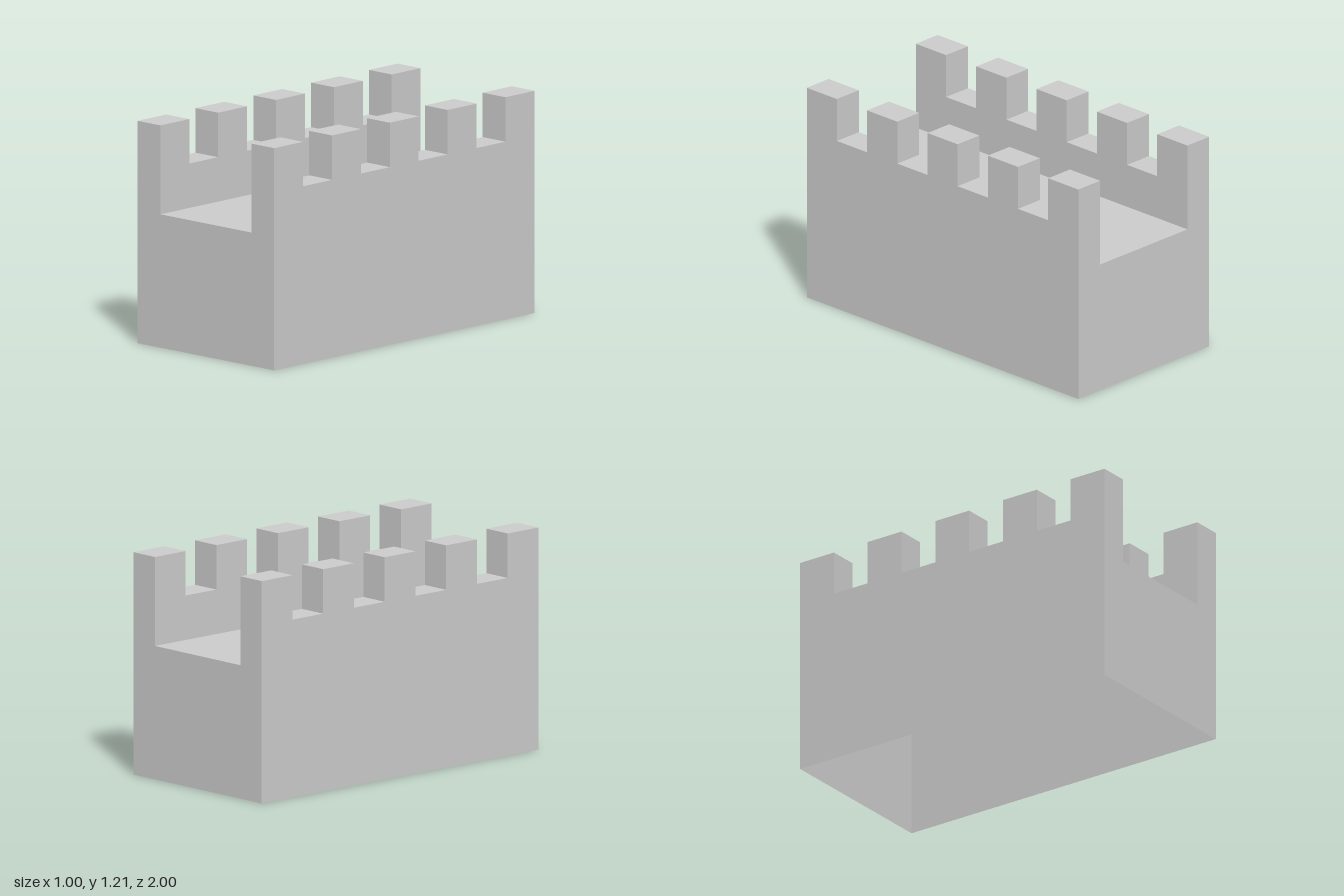
import * as THREE from 'three';
import { mergeGeometries } from 'three/addons/utils/BufferGeometryUtils.js';

const HALF_W = 0.5, INNER = 1 / 3, HALF_L = 1;
const DECK = 0.723, NOTCH = 0.964, TOP = 1.205;
const BAYS = 9, BAY = (2 * HALF_L) / BAYS;

const material = new THREE.MeshStandardMaterial({
  color: 0xcccccc, flatShading: true, side: THREE.DoubleSide,
});

function mesh(name, geometry) {
  const m = new THREE.Mesh(geometry, material);
  m.name = name;
  return m;
}

// Battlement outline: merlons on even bays, notches on odd ones
function battlementShape(base) {
  const pts = [new THREE.Vector2(HALF_L, base), new THREE.Vector2(HALF_L, TOP)];
  for (let i = 1; i < BAYS; i++) {
    const u = HALF_L - i * BAY;
    const [from, to] = i % 2 ? [TOP, NOTCH] : [NOTCH, TOP];
    pts.push(new THREE.Vector2(u, from), new THREE.Vector2(u, to));
  }
  pts.push(new THREE.Vector2(-HALF_L, TOP), new THREE.Vector2(-HALF_L, base));
  return new THREE.Shape(pts);
}

// Hollow crenellated side wall on +x
function createSideWall(name) {
  const wall = new THREE.Group();
  wall.name = name;
  const thick = HALF_W - INNER, midX = (HALF_W + INNER) / 2;

  wall.add(mesh('outerFace', new THREE.ShapeGeometry(battlementShape(0))
    .rotateY(Math.PI / 2).translate(HALF_W, 0, 0)));
  wall.add(mesh('innerFace', new THREE.ShapeGeometry(battlementShape(DECK))
    .rotateY(-Math.PI / 2).translate(INNER, 0, 0)));

  // Merlon tops, notch floors and the merlon cheeks between them
  const caps = [], cheeks = [];
  for (let i = 0; i < BAYS; i++) {
    const z = -HALF_L + i * BAY;
    caps.push(new THREE.PlaneGeometry(thick, BAY).rotateX(-Math.PI / 2)
      .translate(midX, i % 2 ? NOTCH : TOP, z + BAY / 2));
    if (i > 0) {
      cheeks.push(new THREE.PlaneGeometry(thick, TOP - NOTCH).rotateY(i % 2 ? 0 : Math.PI)
        .translate(midX, (TOP + NOTCH) / 2, z));
    }
  }
  wall.add(mesh('wallCaps', mergeGeometries(caps)));
  wall.add(mesh('merlonCheeks', mergeGeometries(cheeks)));
  return wall;
}

// U-shaped end wall facing +z
function createEndWall(name) {
  const outline = [
    [-HALF_W, 0], [HALF_W, 0], [HALF_W, TOP], [INNER, TOP],
    [INNER, DECK], [-INNER, DECK], [-INNER, TOP], [-HALF_W, TOP],
  ].map(([x, y]) => new THREE.Vector2(x, y));
  return mesh(name, new THREE.ShapeGeometry(new THREE.Shape(outline)).translate(0, 0, HALF_L));
}

export function createModel() {
  const model = new THREE.Group();
  model.name = 'castleWall';

  const leftWall = createSideWall('leftWall');
  const rightWall = createSideWall('rightWall');
  rightWall.rotation.y = Math.PI;

  const frontWall = createEndWall('frontWall');
  const backWall = createEndWall('backWall');
  backWall.rotation.y = Math.PI;

  // Walkway sheet; the shell is open underneath
  const walkway = mesh('walkway', new THREE.PlaneGeometry(2 * INNER, 2 * HALF_L)
    .rotateX(-Math.PI / 2).translate(0, DECK, 0));

  model.add(leftWall, rightWall, frontWall, backWall, walkway);
  return model;
}
